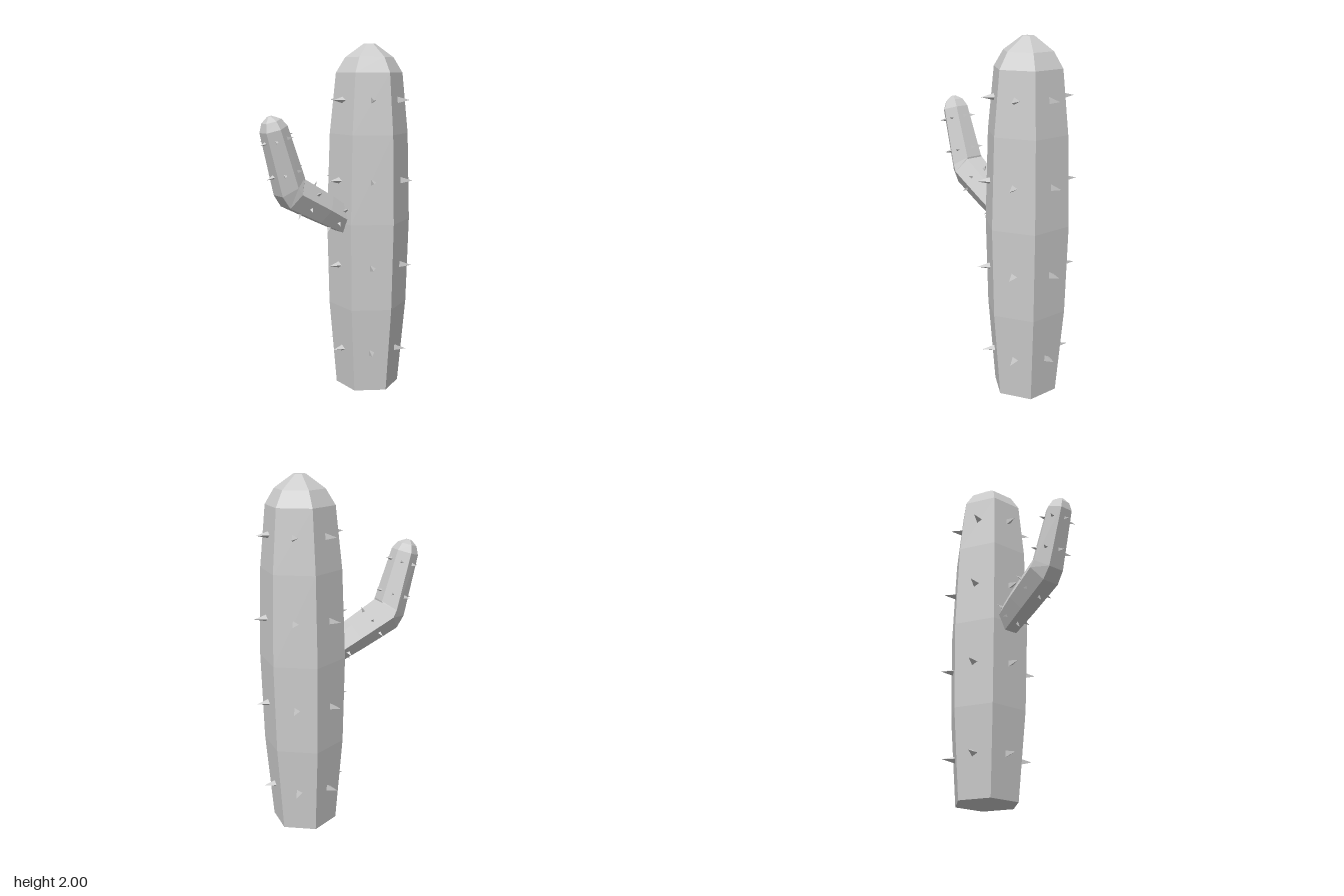
import * as THREE from 'three';

const SIDES = 6;
const material = new THREE.MeshStandardMaterial({ color: 0xcccccc, flatShading: true });

// Axes of a cross-section tilted about z: u across, w along the stem
function frame(tiltDegrees) {
  const t = THREE.MathUtils.degToRad(tiltDegrees);
  return {
    u: new THREE.Vector3(Math.cos(t), Math.sin(t), 0),
    w: new THREE.Vector3(-Math.sin(t), Math.cos(t), 0),
  };
}

// Direction at angle a around a cross-section
function radial(u, a) {
  return u.clone().multiplyScalar(Math.sin(a)).add(new THREE.Vector3(0, 0, Math.cos(a)));
}

// Closed six-sided stem through sections [x, y, z, radius, tilt]
function stem(name, sections) {
  const positions = [];
  const index = [];
  sections.forEach(([x, y, z, r, tilt], s) => {
    const { u } = frame(tilt);
    for (let i = 0; i < SIDES; i++) {
      const p = radial(u, (i / SIDES) * Math.PI * 2).multiplyScalar(r);
      positions.push(p.x + x, p.y + y, p.z + z);
      if (s === 0) continue;
      const j = (i + 1) % SIDES;
      const low = (s - 1) * SIDES;
      const high = s * SIDES;
      index.push(low + i, low + j, high + j, low + i, high + j, high + i);
    }
  });
  // End caps
  const last = (sections.length - 1) * SIDES;
  for (let i = 1; i < SIDES - 1; i++) {
    index.push(0, i + 1, i, last, last + i, last + i + 1);
  }
  const geometry = new THREE.BufferGeometry();
  geometry.setAttribute('position', new THREE.Float32BufferAttribute(positions, 3));
  geometry.setIndex(index);
  geometry.computeVertexNormals();
  const mesh = new THREE.Mesh(geometry, material);
  mesh.name = name;
  return mesh;
}

// One spine per face at each ring [x, y, z, distance to face, tilt]
function spines(name, rings, radius, length, buried) {
  const group = new THREE.Group();
  group.name = name;
  const cone = new THREE.ConeGeometry(radius, length, 3);
  cone.translate(0, length / 2 - buried, 0);
  for (const [x, y, z, d, tilt] of rings) {
    const { u, w } = frame(tilt);
    for (let i = 0; i < SIDES; i++) {
      const out = radial(u, ((i + 0.5) / SIDES) * Math.PI * 2);
      const side = new THREE.Vector3().crossVectors(w, out);
      const spine = new THREE.Mesh(cone, material);
      spine.name = 'spine';
      spine.quaternion.setFromRotationMatrix(new THREE.Matrix4().makeBasis(w, out, side));
      spine.position.set(x, y, z).addScaledVector(out, d);
      group.add(spine);
    }
  }
  return group;
}

export function createModel() {
  const cactus = new THREE.Group();
  cactus.name = 'cactus';
  const cx = 0.218;

  // Trunk, widest at mid height with a domed top
  const trunkProfile = [
    [0, 0.185], [0.5, 0.228], [1, 0.241], [1.5, 0.225],
    [1.84, 0.19], [1.925, 0.138], [2, 0.034],
  ];
  cactus.add(stem('trunk', trunkProfile.map(([y, r]) => [cx, y, 0, r, 0])));

  // Bent arm, rooted inside the trunk
  cactus.add(stem('arm', [
    [0.1, 0.977, 0, 0.076, 60],
    [-0.1, 1.09, 0, 0.095, 60],
    [-0.295, 1.195, 0, 0.104, 59],
    [-0.318, 1.233, 0.002, 0.098, 35],
    [-0.415, 1.545, 0.01, 0.077, 17],
    [-0.428, 1.588, 0.01, 0.054, 16],
    [-0.438, 1.612, 0.01, 0.015, 16],
  ]));

  // Spines
  const trunkRings = [[0.24, 0.178], [0.75, 0.203], [1.24, 0.202], [1.69, 0.177]];
  cactus.add(spines('trunkSpines', trunkRings.map(([y, d]) => [cx, y, 0, d, 0]), 0.03, 0.1, 0.03));
  cactus.add(spines('armSpines', [
    [-0.015, 1.042, 0, 0.075, 60],
    [-0.2, 1.145, 0, 0.085, 60],
    [-0.345, 1.31, 0.004, 0.08, 17],
    [-0.397, 1.49, 0.009, 0.07, 17],
  ], 0.015, 0.05, 0.015));

  return cactus;
}
